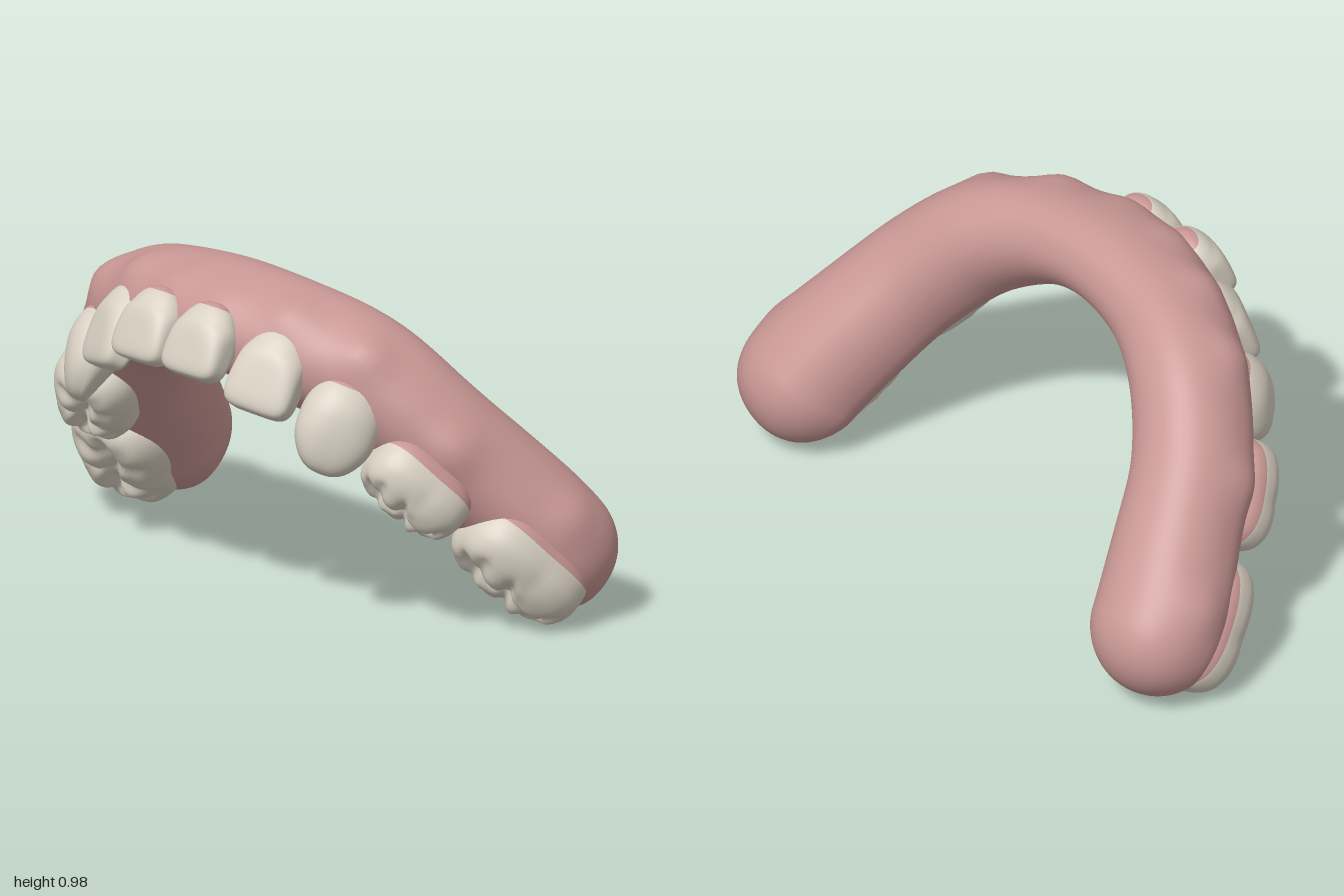
import * as THREE from 'three';
import { mergeVertices } from 'three/addons/utils/BufferGeometryUtils.js';

const V = (x, y, z) => new THREE.Vector3(x, y, z);
const lerp = THREE.MathUtils.lerp;
const smooth = THREE.MathUtils.smoothstep;

// Teeth of the model's left side: centre, direction along the arch, biting
// direction, half sizes (along arch, biting direction, thickness), collar start
const TEETH = [
  { name: 'centralIncisor', kind: 'incisor', c: [0.107, 0.811, 0.402], t: [1, -0.04, -0.05], o: [0, -0.88, 0.47], size: [0.104, 0.114, 0.066], collar: -0.86 },
  { name: 'lateralIncisor', kind: 'incisor', c: [0.312, 0.749, 0.334], t: [0.9, -0.28, -0.28], o: [0, -0.87, 0.5], size: [0.105, 0.13, 0.07], collar: -0.86 },
  { name: 'canine', kind: 'canine', c: [0.503, 0.615, 0.25], t: [0.62, -0.52, -0.55], o: [-0.03, -0.88, 0.46], size: [0.118, 0.149, 0.091], collar: -0.74 },
  { name: 'premolar', kind: 'molar', c: [0.662, 0.432, 0.096], t: [0.47, -0.68, -0.55], o: [-0.1, -0.67, 0.74], size: [0.162, 0.1, 0.126], collar: -0.42 },
  { name: 'molar', kind: 'molar', c: [0.811, 0.188, -0.165], t: [0.34, -0.72, -0.62], o: [-0.07, -0.69, 0.72], size: [0.202, 0.113, 0.158], collar: -0.42 },
];

// Right-handed frame of a tooth; its outer face looks along local -z
function toothFrame(d, s) {
  const o = V(d.o[0] * s, d.o[1], d.o[2]).normalize();
  const t = V(d.t[0], d.t[1] * s, d.t[2] * s);
  t.addScaledVector(o, -t.dot(o)).normalize();
  const inner = t.clone().cross(o);
  const c = V(d.c[0] * s, d.c[1], d.c[2]);
  return { o, t, inner, c };
}

// A rounded block, shaped by a rule for each kind of tooth
function toothGeometry(d, s) {
  const cols = 64, rows = 48;
  const geo = new THREE.SphereGeometry(1, cols, rows);
  const p = geo.attributes.position;
  const f = toothFrame(d, s);
  const molar = d.kind === 'molar';
  const rowY = [];
  for (let i = 0; i < p.count; i++) {
    let x = p.getX(i), y = p.getY(i), z = p.getZ(i);
    const biting = smooth(y, -0.5, 0.6);
    const e = molar ? 2.9 : lerp(2.1, d.kind === 'canine' ? 2.5 : 5, biting);
    const r = Math.pow(Math.abs(x) ** e + Math.abs(y) ** e + Math.abs(z) ** e, -1 / e);
    x *= r; y *= r; z *= r;
    const row = Math.floor(i / (cols + 1));
    rowY[row] = Math.min(rowY[row] ?? 9, y);
    if (molar) {
      // Fissures and cusps on the chewing face, mirrored on the other side
      const m = x * s;
      const top = smooth(y, 0.35, 0.85);
      const rim = 1 - 0.6 * smooth(Math.abs(z), 0.55, 0.95);
      const w = z + 0.1 * Math.sin(5 * m);
      const main = Math.exp(-w * w / 0.035) * (1 - smooth(Math.abs(m), 0.6, 0.9));
      const cross = Math.exp(-((m - 0.12 - 0.3 * z) ** 2) / 0.012);
      const side = Math.exp(-((Math.abs(m - 0.1) - 0.55 + 0.2 * z) ** 2) / 0.01);
      const cusp = Math.sin(m * 9 + 1) * Math.sin(z * 7 + 2);
      y += top * (0.06 + 0.05 * cusp * rim - 0.4 * main - (0.22 * cross + 0.14 * side) * rim);
      z *= 1 - 0.14 * smooth(y, 0, 1);
      // Vertical groove down the cheek side
      z *= 1 - 0.04 * Math.exp(-((m - 0.1) ** 2) / 0.02) * biting;
    } else {
      // Blade thins from behind, towards the biting edge
      z *= 1 - (z > 0 ? 0.6 : 0.22) * smooth(y, -0.4, 1);
      if (d.kind === 'canine') x *= 1 - 0.12 * smooth(y, 0.2, 1);
      else x *= 0.98 + 0.06 * y;
    }
    const q = f.c.clone()
      .addScaledVector(f.t, x * d.size[0])
      .addScaledVector(f.o, y * d.size[1])
      .addScaledVector(f.inner, z * d.size[2]);
    p.setXYZ(i, q.x, q.y, q.z);
  }
  geo.deleteAttribute('uv');
  geo.deleteAttribute('normal');
  // Rows nearest the gum take the gum colour
  let first = rows - 1;
  while (first > 1 && rowY[first] < d.collar) first--;
  const split = cols * 3 + (first - 1) * cols * 6;
  const total = geo.index.count;
  const out = mergeVertices(geo, 1e-5);
  out.clearGroups();
  out.addGroup(0, split, 0);
  out.addGroup(split, total - split, 1);
  out.computeVertexNormals();
  return out;
}

// Gum: oval sections swept along the tilted arch, closed by round ends
function gumGeometry() {
  const half = [[0.25, 0.797, 0.185], [0.45, 0.712, 0.105], [0.6, 0.56, 0.0],
    [0.71, 0.385, -0.145], [0.795, 0.215, -0.28], [0.83, 0.05, -0.395]];
  const pts = [
    ...half.slice().reverse().map(([x, y, z]) => V(-x, y, z)),
    V(0, 0.837, 0.212),
    ...half.map(([x, y, z]) => V(x, y, z)),
  ];
  const path = new THREE.CatmullRomCurve3(pts);
  const rows = 160, cols = 64, cap = 0.07;
  // Swellings over the root and neck of each tooth
  const roots = [];
  for (const s of [1, -1]) for (const d of TEETH) {
    const f = toothFrame(d, s);
    const back = d.kind === 'molar' ? 1.35 : 1.45;
    roots.push(f.c.clone().addScaledVector(f.o, -d.size[1] * back)
      .addScaledVector(f.inner, -d.size[2] * 0.6));
  }
  const pos = [], idx = [];
  for (let i = 0; i <= rows; i++) {
    const u = 0.5 - 0.5 * Math.cos(Math.PI * i / rows);
    const c = path.getPointAt(u), T = path.getTangentAt(u);
    const k = smooth(Math.abs(c.x), 0, 0.65);
    const end = smooth(Math.abs(c.x), 0.62, 0.8);
    const N = V(-0.04 * Math.sign(c.x) * k, lerp(-0.3, -0.69, k), lerp(0.95, 0.72, k));
    const L = N.clone().cross(T).normalize();
    N.copy(T).cross(L).normalize();
    const e = Math.min(u, 1 - u) / cap;
    const s = e < 1 ? Math.sqrt(Math.max(0, 1 - (1 - e) ** 2)) : 1;
    const w = lerp(0.134, 0.168, k) + 0.022 * end;
    for (let j = 0; j < cols; j++) {
      const a = j / cols * Math.PI * 2, ca = Math.cos(a), sa = Math.sin(a);
      const h = sa > 0 ? lerp(0.187, 0.148, k) : lerp(0.188, 0.19, k) + 0.012 * end;
      const q = c.clone()
        .addScaledVector(L, Math.sign(ca) * Math.abs(ca) ** 0.92 * w * s)
        .addScaledVector(N, Math.sign(sa) * Math.abs(sa) ** 0.92 * h * s);
      const out = q.clone().sub(c).normalize();
      let b = 0;
      for (const r of roots) b += Math.exp(-q.distanceToSquared(r) / 0.005);
      q.addScaledVector(out, 0.026 * Math.min(b, 1.2) * s);
      pos.push(q.x, q.y, q.z);
      if (i < rows) {
        const j2 = (j + 1) % cols;
        const A = i * cols + j, D = i * cols + j2, B = A + cols, C = D + cols;
        idx.push(A, D, B, B, D, C);
      }
    }
  }
  const geo = new THREE.BufferGeometry();
  geo.setAttribute('position', new THREE.Float32BufferAttribute(pos, 3));
  geo.setIndex(idx);
  const out = mergeVertices(geo, 1e-5);
  out.computeVertexNormals();
  return out;
}

export function createModel() {
  const gumPink = new THREE.MeshStandardMaterial({ color: 0xc89794 });
  gumPink.name = 'gumPink';
  const enamel = new THREE.MeshStandardMaterial({ color: 0xd8d0c2 });
  enamel.name = 'enamel';

  const model = new THREE.Group();
  model.name = 'upperDentalArch';
  const gum = new THREE.Mesh(gumGeometry(), gumPink);
  gum.name = 'gum';
  model.add(gum);

  // Teeth, mirrored on both sides
  const teeth = new THREE.Group();
  teeth.name = 'teeth';
  for (const [s, side] of [[1, 'Left'], [-1, 'Right']]) {
    for (const d of TEETH) {
      const tooth = new THREE.Mesh(toothGeometry(d, s), [enamel, gumPink]);
      tooth.name = d.name + side;
      teeth.add(tooth);
    }
  }
  model.add(teeth);
  return model;
}
